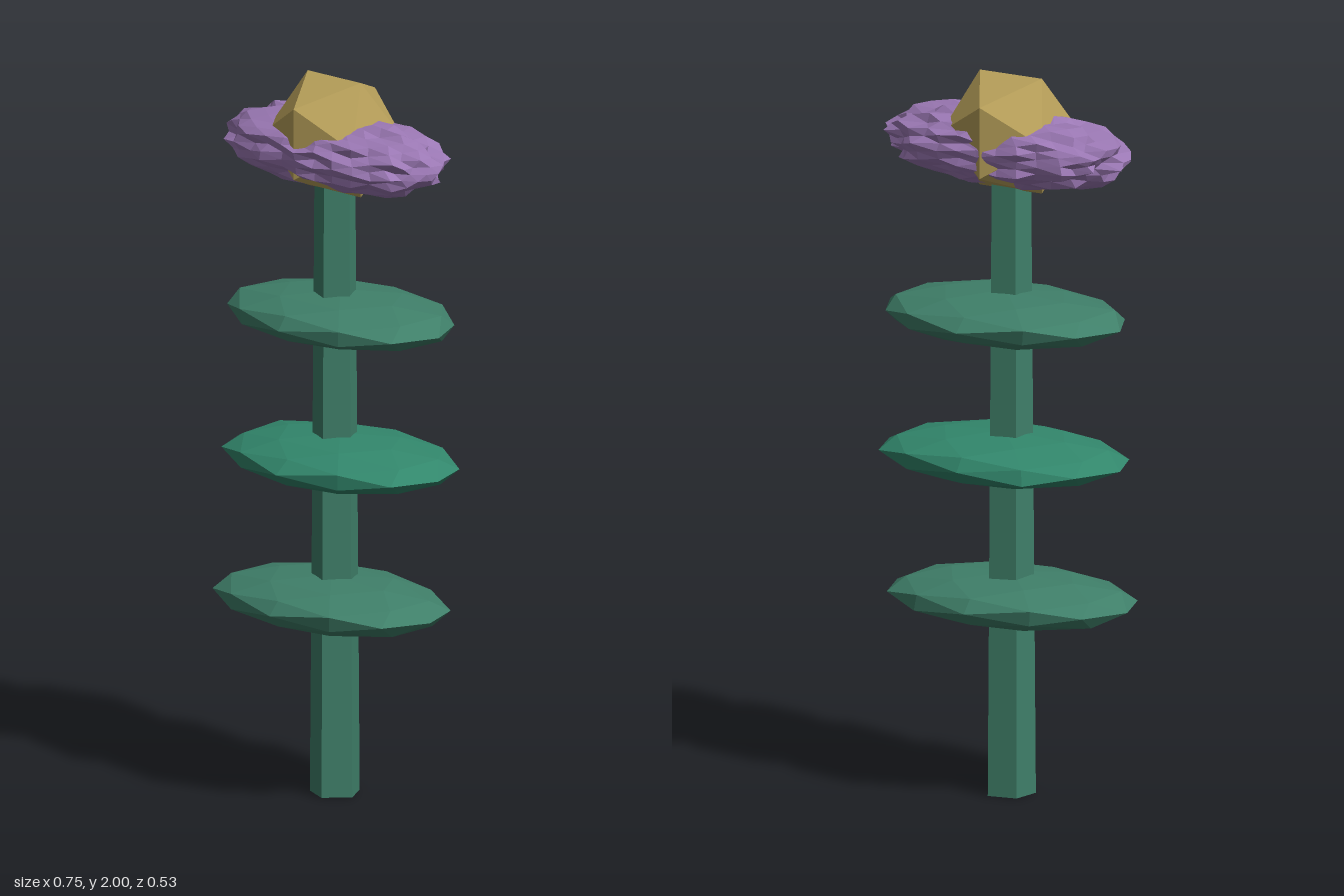
import * as THREE from 'three';

const paint = (color) => new THREE.MeshStandardMaterial({ color, flatShading: true });

// Repeatable value in 0..1 for a point, so shared corners stay together
function hash(v, seed) {
  const q = (n) => Math.round(n * 1000) / 1000 + 0;
  const s = Math.sin(q(v.x) * 127.1 + q(v.y) * 311.7 + q(v.z) * 74.7 + seed * 19.3) * 43758.5453;
  return s - Math.floor(s);
}

// Move every vertex of a geometry by a rule
function reshape(geometry, rule) {
  const p = geometry.attributes.position;
  const v = new THREE.Vector3();
  for (let i = 0; i < p.count; i++) {
    v.fromBufferAttribute(p, i);
    rule(v);
    p.setXYZ(i, v.x, v.y, v.z);
  }
  geometry.computeVertexNormals();
  return geometry;
}

export function createModel() {
  const group = new THREE.Group();
  const add = (name, geometry, material, x, y, z) => {
    const mesh = new THREE.Mesh(geometry, material);
    mesh.name = name;
    mesh.position.set(x, y, z);
    group.add(mesh);
    return mesh;
  };

  // Five-sided tapering stem
  const stem = add('stem', new THREE.CylinderGeometry(0.058, 0.071, 1.76, 5), paint(0x3f7f69), -0.008, 0.88, 0);
  stem.rotation.y = 0.2;

  // Three flattened faceted leaf discs
  const leaves = [
    { x: -0.005, y: 0.543, z: 0.018, color: 0x3f7f69 },
    { x: 0.01, y: 0.938, z: 0, color: 0x32876c },
    { x: -0.005, y: 1.333, z: -0.018, color: 0x3f7f69 },
  ];
  leaves.forEach(({ x, y, z, color }, i) => {
    const disc = reshape(new THREE.IcosahedronGeometry(1, 1), (v) => {
      v.multiplyScalar(0.97 + 0.06 * hash(v, i + 1));
      v.multiply(new THREE.Vector3(0.362, 0.069, 0.25));
    });
    add('leaf' + (i + 1), disc, paint(color), x, y, z);
  });

  // Spiky blossom: a full, flattened ball with jagged facets
  const blossom = reshape(new THREE.IcosahedronGeometry(1, 5), (v) => {
    const bulge = Math.pow(Math.abs(v.x) ** 2.5 + Math.hypot(v.y, v.z) ** 2.5, -1 / 2.5);
    v.multiplyScalar(bulge * (0.84 + 0.17 * hash(v, 7)));
    v.multiply(new THREE.Vector3(0.375, 0.107, 0.177));
  });
  add('blossom', blossom, paint(0x9b78b4), 0, 1.8, 0);

  // Faceted flower centre
  add('flowerCentre', new THREE.IcosahedronGeometry(0.188, 0), paint(0xb8a05a), -0.012, 1.84, 0);

  return group;
}
